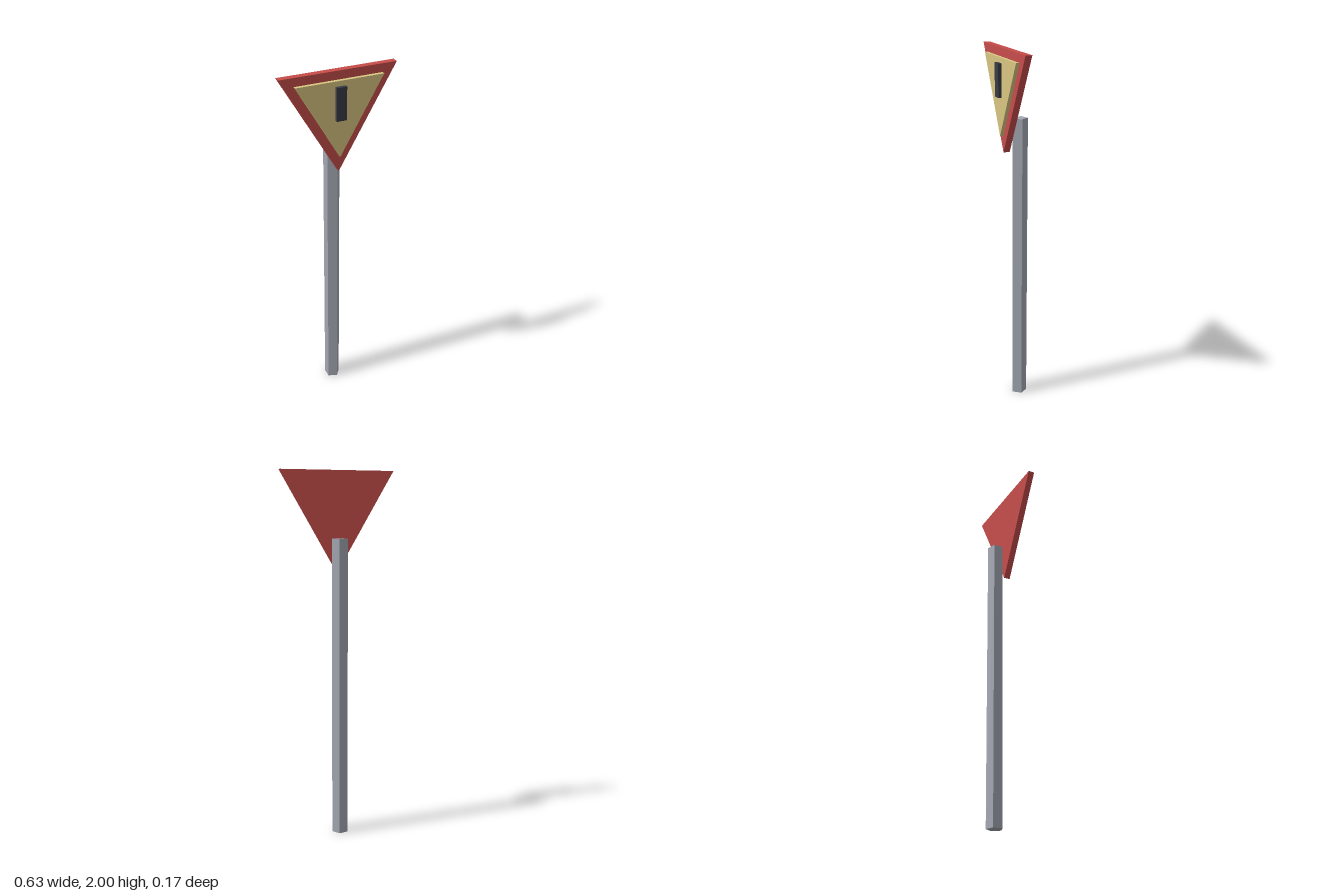
import * as THREE from 'three';

const CENTRE_Y = 1.819; // centroid of the triangular sign

function addPart(group, name, geometry, color, x, y, z) {
  const material = new THREE.MeshStandardMaterial({ color, flatShading: true });
  const mesh = new THREE.Mesh(geometry, material);
  mesh.name = name;
  mesh.position.set(x, y, z);
  group.add(mesh);
}

// Equilateral plate pointing down, with its back at z = 0
function trianglePlate(radius, depth) {
  const corners = [-90, 30, 150].map((deg) => {
    const a = THREE.MathUtils.degToRad(deg);
    return new THREE.Vector2(radius * Math.cos(a), radius * Math.sin(a));
  });
  return new THREE.ExtrudeGeometry(new THREE.Shape(corners), { depth, bevelEnabled: false });
}

export function createModel() {
  const sign = new THREE.Group();
  sign.name = 'warningSign';

  // Five-sided pole with one edge towards +x, standing behind the plate
  const pole = new THREE.CylinderGeometry(0.045, 0.045, 1.636, 5, 1, false, Math.PI / 2);
  addPart(sign, 'pole', pole, 0xa2a6b0, 0, 0.818, -0.043);

  // Red border plate and the smaller yellow panel on its front
  addPart(sign, 'borderPlate', trianglePlate(0.363, 0.035), 0xc64d4a, 0, CENTRE_Y, 0.012);
  addPart(sign, 'innerPanel', trianglePlate(0.273, 0.019), 0xd9c681, 0, CENTRE_Y, 0.047);

  // Dark upright bar
  addPart(sign, 'symbolBar', new THREE.BoxGeometry(0.054, 0.176, 0.018), 0x3a3c46, 0, 1.84, 0.075);

  return sign;
}
